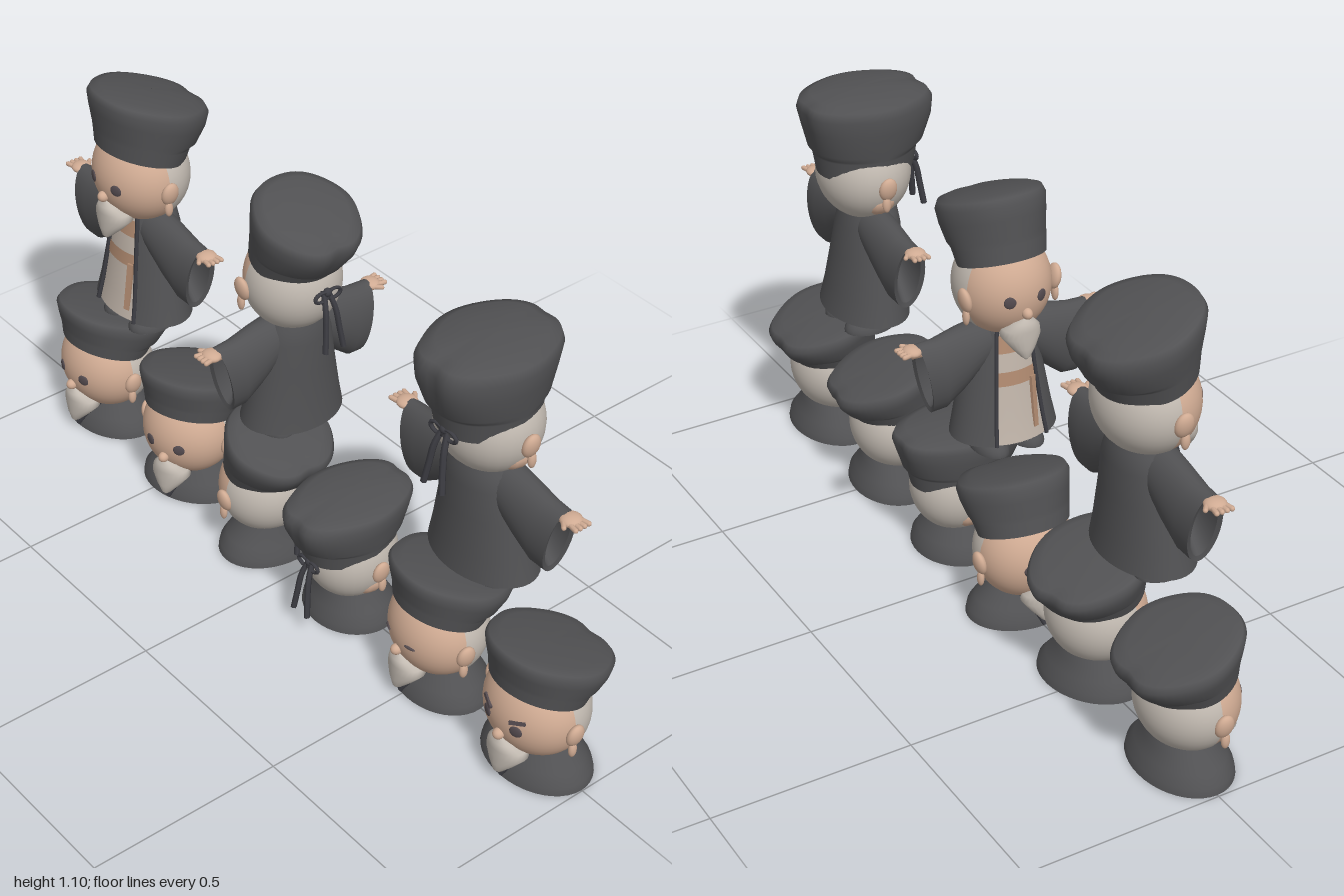
import * as THREE from 'three';

const mat = (name, color, side = THREE.FrontSide) => {
  const m = new THREE.MeshStandardMaterial({ color, side });
  m.name = name;
  return m;
};
const cloth = mat('darkCloth', 0x515153, THREE.DoubleSide);
const trim = mat('trim', 0x3d3d43);
const skin = mat('skin', 0xd0ab93);
const hair = mat('hair', 0xc2bab1);
const gown = mat('paleGown', 0xbfb3a8);
const sash = mat('sash', 0xb08a70);
const ink = mat('eyeDark', 0x544b4f);

function add(parent, name, geometry, material, pos = [0, 0, 0], scale = [1, 1, 1], rot = [0, 0, 0]) {
  const m = new THREE.Mesh(geometry, material);
  m.name = name;
  m.position.set(...pos);
  m.scale.set(...scale);
  m.rotation.set(...rot);
  parent.add(m);
  return m;
}

// Skin a stack of rings; closed rings wrap around without a seam
function loft(rows, closed = true) {
  const n = rows[0].length, pos = [], idx = [];
  rows.forEach(r => r.forEach(p => pos.push(...p)));
  for (let i = 0; i < rows.length - 1; i++) {
    for (let j = 0; j < (closed ? n : n - 1); j++) {
      const k = (j + 1) % n, a = i * n + j, b = i * n + k, c = a + n, d = b + n;
      idx.push(a, b, d, a, d, c);
    }
  }
  const g = new THREE.BufferGeometry();
  g.setAttribute('position', new THREE.Float32BufferAttribute(pos, 3));
  g.setIndex(idx);
  g.computeVertexNormals();
  return g;
}

// Upright form: stations are [y, halfWidth, halfDepth, zCentre]; gap opens the front
function upright(stations, { gap = 0, n = 40, k = 1, bend = p => p } = {}) {
  const rows = stations.map(([y, rx, rz, zc = 0]) => Array.from({ length: gap ? n + 1 : n }, (_, j) => {
    const t = gap + (j / n) * (2 * Math.PI - 2 * gap);
    return bend([rx * k * Math.sin(t), y, zc + rz * k * Math.cos(t)], t);
  }));
  return loft(rows, !gap);
}

const ball = new THREE.SphereGeometry(1, 20, 14);
const box = new THREE.BoxGeometry(1, 1, 1);
const tube = (pts, r) => new THREE.TubeGeometry(
  new THREE.CatmullRomCurve3(pts.map(p => new THREE.Vector3(...p))), 14, r, 6);

const HAT = [[.065, .1, .09, -.005], [.06, .124, .111, -.005], [.06, .124, .111, -.005], [.1, .131, .12, -.013],
  [.104, .132, .121, -.014], [.115, .134, .125, -.017], [.16, .144, .14, -.027], [.193, .148, .146, -.03],
  [.21, .14, .137, -.03], [.218, .115, .11, -.028], [.224, .06, .06, -.025], [.225, 0, 0, -.02]];

// Cap: a headband that shows behind, under a full crown pressed into a pleat
function makeHat({ hatBase = .06, hatHeight = 1, hatWide = 1, hatDeep = 1, lean = 0, tilt = .3, rear = false }) {
  return upright(HAT, {
    n: 56,
    bend: ([x, y, z], t) => {
      const c = Math.cos(t), back = THREE.MathUtils.smoothstep(rear ? Math.abs(c) : -c, -.1, .7);
      const crown = THREE.MathUtils.smoothstep(y, .1, .17);
      const band = y < .11 ? .06 * back : 0;
      const fold = crown * (.06 * back * Math.exp(-((Math.sin(t) / .2) ** 2)) + .01 * Math.cos(6 * t));
      const s = 1 - band - fold;
      return [x * s * hatWide, hatBase + (y - .06) * hatHeight + tilt * z * s, z * s * hatDeep - lean * (y - .06)];
    },
  });
}

// Ribbon tied at the back of the cap
function addRibbon(h, z) {
  for (const s of [1, -1]) {
    add(h, 'ribbonTail', tube([[s * .006, .025, z], [s * .016, -.02, z - .02], [s * .022, -.07, z - .028],
      [s * .03, -.125, z - .035]], .008), trim);
    add(h, 'ribbonLoop', new THREE.TorusGeometry(.018, .005, 6, 14), trim, [s * .02, .015, z - .01], [1.2, .7, 1]);
  }
  add(h, 'ribbonKnot', ball, trim, [0, .022, z - .008], [.012, .011, .01]);
}

// Eyes, nose, brows and beard on the curve of the face
function addFeatures(h, { brow = 0, shut = false }) {
  add(h, 'nose', ball, skin, [0, -.035, .115], [.014, .014, .015]);
  for (const s of [1, -1]) {
    const turn = s * .36;
    add(h, 'eye', ball, ink, [s * .047, 0, .1085], [.016, shut ? .004 : .015, .004], [0, turn, 0]);
    if (brow) add(h, 'brow', box, ink, [s * .048, .026, .106], [.04, .008, .008], [-.25, turn, s * brow]);
  }
  add(h, 'beard', upright([[-.158, 0, 0, .112], [-.148, .014, .013, .108], [-.125, .036, .03, .095],
    [-.1, .056, .042, .083], [-.08, .052, .04, .085], [-.06, .03, .024, .1], [-.05, 0, 0, .107]], { n: 24 }), hair);
}

// Head with its origin at eye level; rear heads show hair on both sides
function makeHead(options) {
  const { rear = false, ribbon = false, hairline = 0 } = options;
  const h = new THREE.Group();
  h.name = 'head';
  if (rear) {
    add(h, 'hair', new THREE.SphereGeometry(1, 32, 22), hair, [0, 0, 0], [.131, .125, .118]);
    add(h, 'jaw', ball, skin, [0, -.05, 0], [.125, .06, .07]);
  } else {
    add(h, 'face', new THREE.SphereGeometry(1, 32, 22, hairline, Math.PI - 2 * hairline), skin, [0, 0, 0], [.131, .125, .116]);
    add(h, 'backHair', new THREE.SphereGeometry(1, 32, 22, Math.PI - hairline - .04, Math.PI + 2 * hairline + .08), hair,
      [0, 0, 0], [.133, .125, .119]);
    addFeatures(h, options);
  }
  add(h, 'hat', makeHat(options), cloth);
  const earZ = .116 * Math.sin(hairline) + (rear ? 0 : .008);
  for (const s of [1, -1]) {
    add(h, 'ear', ball, skin, [s * .134, -.005, earZ], [.015, .032, .024], [0, 0, -s * .2]);
    add(h, 'earLobe', ball, skin, [s * .134, -.045, earZ + .005], [.009, .022, .011]);
  }
  if (ribbon) addRibbon(h, -.122);
  return h;
}

// Arm along +x: wide hanging sleeve with a hollow cuff, and an open hand
function makeArm() {
  const a = new THREE.Group();
  a.name = 'arm';
  const st = [[.06, .285, .055, .05, 0], [.13, .25, .083, .05, 0], [.19, .225, .093, .049, .12],
    [.238, .222, .094, .043, .2], [.238, .222, .094, .043, .2], [.234, .224, .083, .032, .2],
    [.234, .224, .083, .032, .2], [.15, .26, .04, .02, .1], [.14, .27, 0, 0, 0]];
  add(a, 'sleeve', loft(st.map(([x, y, h, d, lean]) => Array.from({ length: 28 }, (_, j) => {
    const t = j / 28 * 2 * Math.PI, c = Math.cos(t);
    return [x + lean * h * c, y + h * c, d * Math.sin(t)];
  }))), cloth);
  add(a, 'forearm', new THREE.CylinderGeometry(.016, .019, .12, 10), skin, [.21, .299, 0], [1, 1, 1], [0, 0, -Math.PI / 2]);
  add(a, 'palm', ball, skin, [.268, .303, 0], [.026, .013, .026]);
  for (let i = -1.5; i <= 1.5; i++) {
    add(a, 'finger', new THREE.CapsuleGeometry(.0062, .022, 3, 8), skin, [.291, .303, i * .0115],
      [1, 1, 1], [0, -i * .12, -Math.PI / 2]);
  }
  add(a, 'thumb', new THREE.CapsuleGeometry(.006, .02, 3, 8), skin, [.272, .303, .026], [1, 1, 1], [0, -.7, -Math.PI / 2]);
  return a;
}

const ROBE = [[.04, .152, .104, .006], [.1, .138, .094, .002], [.2, .118, .083, -.004], [.28, .104, .076, -.01],
  [.32, .09, .068, -.012], [.35, .066, .058, -.01], [.372, .058, .05, -.01]];

// Open robe front: pale gown, sash and darker edges
function addGown(f, open) {
  add(f, 'innerGown', upright(ROBE, { k: .95 }), gown);
  add(f, 'sash', upright([[.185, .121, .085, -.003], [.22, .115, .082, -.005]], { k: .975 }), sash);
  add(f, 'sashEnd', box, sash, [.045, .13, .083], [.016, .13, .008], [-.14, .35, 0]);
  add(f, 'innerCollar', upright([[.265, .107, .077, -.009], [.31, .094, .071, -.011]], { k: .97 }), sash);
  for (const s of [1, -1]) {
    add(f, 'robeEdge', tube(ROBE.map(([y, rx, rz, zc]) =>
      [s * rx * Math.sin(open), y, zc + rz * Math.cos(open)]), .006), trim);
  }
}

// Whole figure standing on its own y = 0
function makeFigure(options) {
  const f = new THREE.Group();
  f.name = 'figure';
  const open = options.rear ? 0 : .53;
  add(f, 'robe', upright(ROBE, { gap: open }), cloth);
  if (open) addGown(f, open);
  add(f, 'robeBottom', new THREE.CircleGeometry(1, 32), cloth, [0, .041, .006], [.148, .1, 1], [Math.PI / 2, 0, 0]);
  add(f, 'collar', new THREE.TorusGeometry(.062, .013, 8, 28), cloth, [0, .356, -.01], [1, .9, 1], [Math.PI / 2, 0, 0]);
  for (const s of [1, -1]) {
    add(f, 'leg', new THREE.CylinderGeometry(.036, .036, .05, 14), cloth, [s * .05, .035, .005]);
    const shoe = new THREE.SphereGeometry(1, 18, 8, 0, Math.PI * 2, 0, Math.PI / 2);
    add(f, 'shoe', shoe, cloth, [s * .054, 0, .022], [.048, .042, .068]);
    add(f, 'sole', new THREE.CircleGeometry(1, 18), cloth, [s * .054, .001, .022], [.048, .068, 1], [Math.PI / 2, 0, 0]);
  }
  const left = makeArm(), right = makeArm();
  right.rotation.y = Math.PI;
  f.add(left, right);
  const head = makeHead(options);
  head.position.y = .425;
  f.add(head);
  return f;
}

// Head and shoulders on a flat base, standing on y = 0
function makeBust(options) {
  const b = new THREE.Group();
  b.name = 'bust';
  add(b, 'shoulders', upright([[0, 0, 0], [0, .15, .112], [0, .15, .112], [.02, .146, .108], [.045, .125, .094],
    [.075, .092, .076, -.005], [.105, .072, .062, -.01], [.12, .06, .054, -.01]]), cloth);
  if (!options.rear) {
    for (const s of [1, -1]) {
      add(b, 'lapel', tube([[s * .058, .105, .03], [s * .035, .07, .078], [s * .012, .03, .105], [0, .006, .112]], .006), trim);
    }
  }
  const head = makeHead({ hatHeight: .72, ...options });
  head.position.set(0, .178, options.rear ? 0 : .012);
  b.add(head);
  return b;
}

export function createModel() {
  const model = new THREE.Group();
  model.name = 'figureSet';
  const place = (g, x, y, turn, sx = 1) => {
    g.position.set(x, y, 0);
    g.rotation.y = turn;
    g.scale.x = sx;
    model.add(g);
  };
  const rear = { rear: true, ribbon: true, tilt: 0, lean: -.2, hatDeep: 1.2 };
  const side = { ribbon: true, lean: .2, hatDeep: .88 };
  // Upper row: front, side and back
  place(makeFigure({}), -.66, .43, 0);
  place(makeFigure({ ...side, hatWide: .98, hairline: .25 }), -.055, .43, -Math.PI / 2, .89);
  place(makeFigure({ ...rear, hatBase: .01, hatHeight: 1.3, hatWide: .92 }), .63, .43, Math.PI);
  // Lower row of busts
  place(makeBust({}), -.845, 0, 0);
  place(makeBust({}), -.475, 0, .3, .95);
  place(makeBust({ ...side, hatHeight: .85 }), -.15, 0, -Math.PI / 2, .95);
  place(makeBust({ ...rear, hatBase: .02, hatHeight: .98, hatWide: .95 }), .17, 0, Math.PI, .86);
  place(makeBust({ shut: true }), .51, 0, -.15, .98);
  place(makeBust({ brow: .35 }), .848, 0, 0);
  return model;
}
